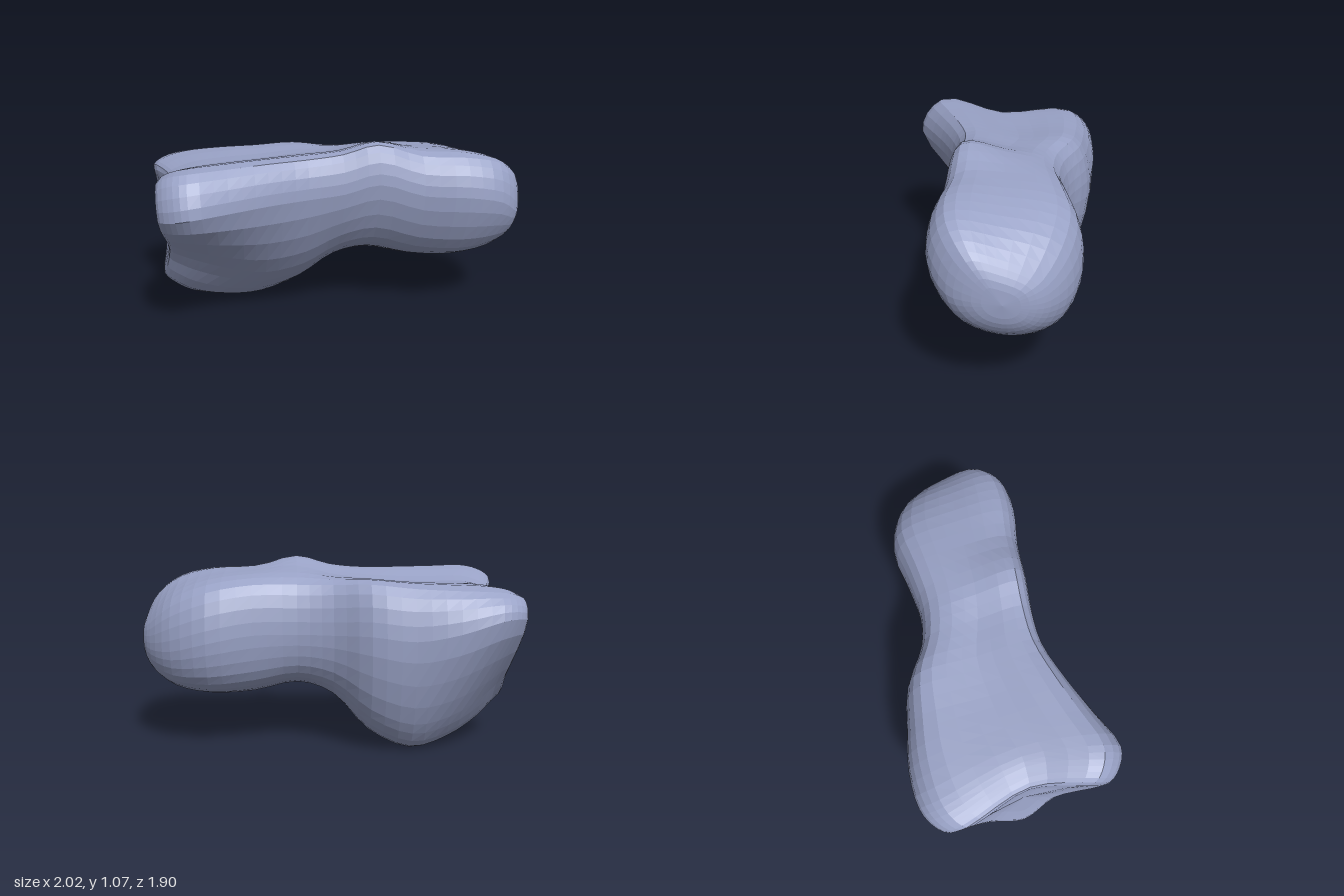
import * as THREE from 'three';

// Sections along the bone's diagonal axis u: side edges, top heights, keel, fullness of the underside
// and, at the forked end, the depth of the notch between the two lobes
const STATIONS = [
  { u: -0.86, left: -.55, right: .49, topLeft: .89, topRight: .98, keel: -.04, base: .21, full: .42, notch: .09 },
  { u: -0.76, left: -.60, right: .53, topLeft: .91, topRight: 1.0, keel: -.09, base: .13, full: .43, notch: .07 },
  { u: -0.55, left: -.61, right: .45, topLeft: .92, topRight: 1.0, keel: -.21, base: .04, full: .50, notch: .03 },
  { u: -0.33, left: -.57, right: .36, topLeft: .93, topRight: 1.0, keel: -.31, base: .01, full: .57 },
  { u: -0.10, left: -.51, right: .29, topLeft: .95, topRight: 1.0, keel: -.28, base: .11, full: .62 },
  { u: 0.10, left: -.38, right: .29, topLeft: .94, topRight: 1.02, keel: -.16, base: .30, full: .64 },
  { u: 0.30, left: -.33, right: .31, topLeft: .94, topRight: 1.07, keel: -.09, base: .36, full: .66 },
  { u: 0.55, left: -.35, right: .34, topLeft: .94, topRight: 1.0, keel: -.08, base: .31, full: .68 },
  { u: 0.80, left: -.38, right: .39, topLeft: .90, topRight: .99, keel: -.06, base: .30, full: .69 },
  { u: 1.00, left: -.31, right: .38, topLeft: .82, topRight: .95, keel: -.03, base: .34, full: .67 },
  { u: 1.13, left: -.19, right: .29, topLeft: .72, topRight: .86, keel: .00, base: .43, full: .66 },
];

const { lerp, smoothstep } = THREE.MathUtils;

// The axis runs from front right to back left at 45 degrees
const place = (u, w, y) => new THREE.Vector3((u + w) * Math.SQRT1_2, y, (w - u) * Math.SQRT1_2);

// Rounded wedge: broad top, two shoulders, sides drawn in to the keel
function section({ u, left, right, topLeft, topRight, keel, base, full, notch = 0 }) {
  const rightY = topRight - Math.min(0.21, (topRight - base) * 0.5);
  const leftDrop = lerp(0.4, 1, smoothstep(u, -0.95, -0.3));
  const leftY = topLeft - Math.min(0.27, (topLeft - base) * 0.5) * leftDrop;
  const crown = 0.06 * smoothstep(u, -0.3, 0.6) - 0.02;
  // across, height, share of the notch
  return [
    [left * 0.8, topLeft, -0.4],
    [lerp(left, right, 0.52), lerp(topLeft, topRight, 0.5) + crown, 1],
    [right * 0.76, topRight, 0],
    [right, rightY, 0],
    [lerp(keel, right, full), lerp(base, rightY, 0.75 - 0.7 * full), 0.6],
    [keel, base, 0],
    [lerp(keel, left, full + 0.06), lerp(base, leftY, 0.27), 0.3],
    [left, leftY, -0.3],
  ].map(([w, y, share]) => place(u + notch * share, w, y));
}

// Copies a section, shrunk towards its middle and moved along the axis, to close an end
function shrink(points, shift, scale) {
  const middle = points.reduce((sum, p) => sum.add(p), new THREE.Vector3()).divideScalar(points.length);
  return points.map(p => middle.clone().lerp(p, scale).add(place(shift, 0, 0)));
}

// Skin through the sections
function loft(sections, rows, columns) {
  const rails = sections[0].map((_, k) => new THREE.CatmullRomCurve3(sections.map(points => points[k])));
  const positions = [], indices = [];
  for (let i = 0; i <= rows; i++) {
    const ring = new THREE.CatmullRomCurve3(rails.map(rail => rail.getPoint(i / rows)), true);
    for (let j = 0; j < columns; j++) {
      positions.push(...ring.getPoint(j / columns).toArray());
      if (i === rows) continue;
      const a = i * columns + j, b = i * columns + (j + 1) % columns;
      indices.push(a, b, a + columns, b, b + columns, a + columns);
    }
  }
  const geometry = new THREE.BufferGeometry();
  geometry.setAttribute('position', new THREE.Float32BufferAttribute(positions, 3));
  geometry.setIndex(indices);
  geometry.computeVertexNormals();
  return geometry;
}

export function createModel() {
  const group = new THREE.Group();
  group.name = 'bone';

  // Slightly hollowed face at the forked end, rounded dome at the head
  const shaft = STATIONS.map(section);
  const fork = shaft[0], head = shaft[shaft.length - 1];
  const sections = [
    shrink(fork, -0.01, 0.005),
    shrink(fork, -0.04, 0.5),
    shrink(fork, -0.065, 0.85),
    ...shaft,
    shrink(head, 0.055, 0.55),
    shrink(head, 0.07, 0.005),
  ];
  const material = new THREE.MeshStandardMaterial({ color: 0x99a2c6, flatShading: true });
  const body = new THREE.Mesh(loft(sections, 45, 32), material);
  body.name = 'boneBody';
  group.add(body);
  return group;
}
